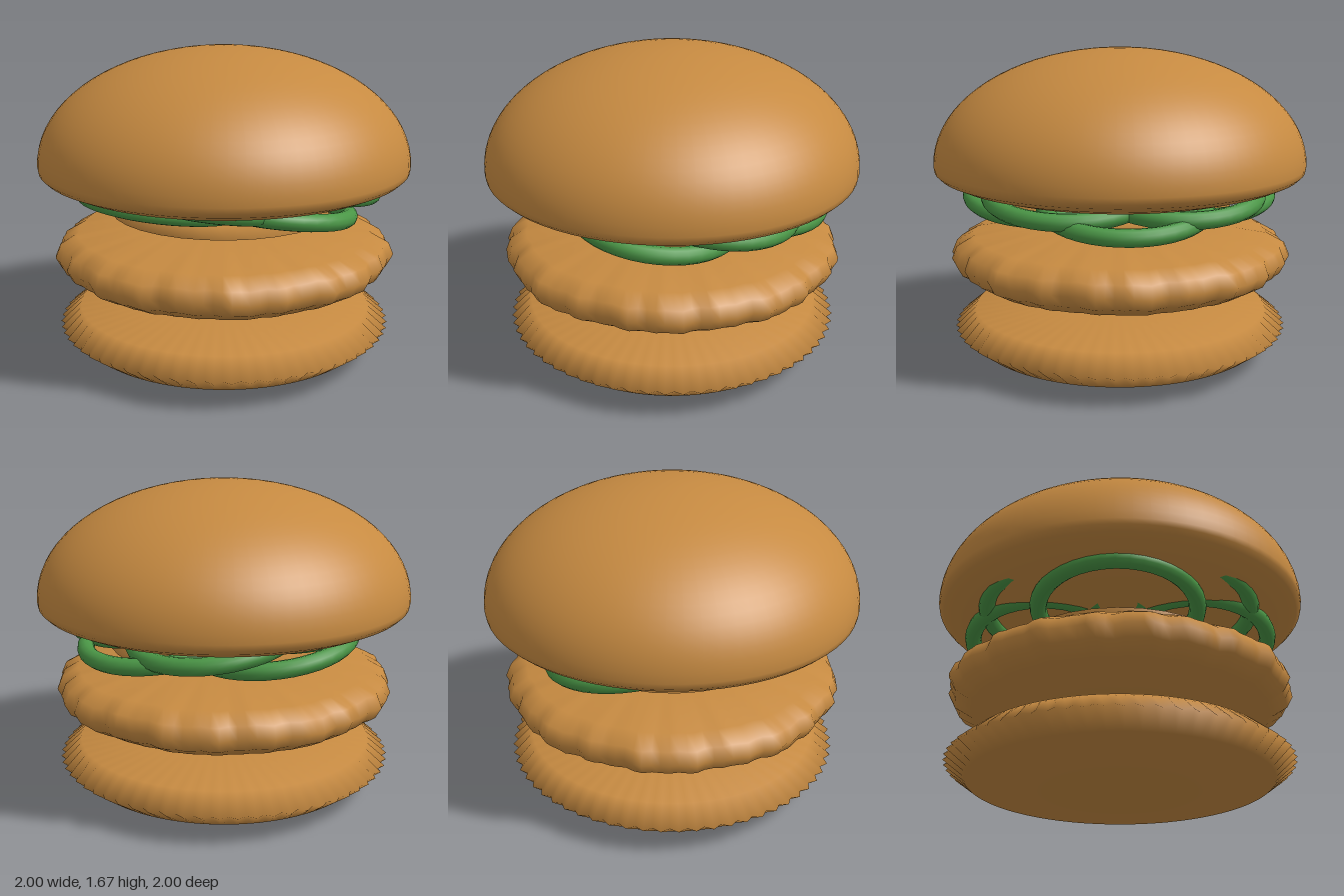
import * as THREE from 'three';
import { mergeVertices } from 'three/addons/utils/BufferGeometryUtils.js';

const tan = new THREE.MeshStandardMaterial({ color: 0xc68a41 });
tan.name = 'toasted tan';
const green = new THREE.MeshStandardMaterial({ color: 0x4a9646 });
green.name = 'leaf green';

// Smooth solid of revolution, optionally reshaped by a rule (angle, radius, y) -> [radius, y]
function turned(name, profile, segments, rule) {
  let geo = new THREE.LatheGeometry(profile.map(([r, y]) => new THREE.Vector2(r, y)), segments);
  geo.deleteAttribute('uv');
  geo.deleteAttribute('normal');
  if (rule) {
    const p = geo.attributes.position;
    for (let i = 0; i < p.count; i++) {
      const x = p.getX(i), z = p.getZ(i);
      const a = Math.atan2(z, x);
      const [r, y] = rule(a, Math.hypot(x, z), p.getY(i));
      p.setXYZ(i, Math.cos(a) * r, y, Math.sin(a) * r);
    }
  }
  geo = mergeVertices(geo, 1e-4);
  geo.computeVertexNormals();
  const mesh = new THREE.Mesh(geo, tan);
  mesh.name = name;
  return mesh;
}

export function createModel() {
  const group = new THREE.Group();
  group.name = 'burger';

  // Lower bun with a pleated rim
  group.add(turned('bottomBun',
    [[0, 0], [0.4, 0.037], [0.8, 0.08], [0.9, 0.165], [0.8, 0.258], [0.4, 0.294], [0, 0.325]], 128,
    (a, r, y) => [r > 0.85 ? r + 0.014 * Math.cos(64 * a) : r, y]));

  // Patty with an uneven, wrinkled edge
  const wrinkle = a => 0.35 * Math.sin(9 * a + 1) + 0.4 * Math.sin(23 * a + 2) + 0.35 * Math.sin(41 * a);
  group.add(turned('patty',
    [[0, 0.375], [0.5, 0.405], [0.79, 0.445], [0.88, 0.5], [0.91, 0.56], [0.885, 0.625], [0.8, 0.675], [0.5, 0.718], [0, 0.75]], 128,
    (a, r, y) => {
      const k = Math.max(0, (r - 0.7) / 0.2);
      return [r + 0.02 * k * wrinkle(a), y + 0.008 * k * wrinkle(a + 0.5)];
    }));

  // Thin slice
  group.add(turned('slice', [[0, 0.77], [0.4, 0.775], [0.62, 0.79], [0.4, 0.804], [0, 0.81]], 32));

  // Ring of overlapping tilted green loops, alternating in height
  const loops = new THREE.Group();
  loops.name = 'greenRings';
  const loopGeo = new THREE.TorusGeometry(0.41, 0.045, 12, 40).rotateX(Math.PI / 2).rotateZ(-0.15);
  for (let i = 0; i < 8; i++) {
    const a = i * Math.PI / 4;
    const loop = new THREE.Mesh(loopGeo, green);
    loop.name = 'greenRing';
    loop.position.set(0.4 * Math.cos(a), i % 2 ? 0.94 : 0.89, 0.4 * Math.sin(a));
    loops.add(loop);
  }
  group.add(loops);

  // Domed top bun: shallow underside, rounded lip, elliptical dome
  const dome = [[0, 0.91], [0.4, 0.915], [0.65, 0.923], [0.78, 0.938], [0.9, 0.974], [0.97, 1.006], [0.995, 1.03]];
  for (let i = 0; i <= 20; i++) {
    const t = i / 20 * Math.PI / 2;
    dome.push([i === 20 ? 0 : Math.cos(t), 1.06 + 0.61 * Math.sin(t)]);
  }
  group.add(turned('topBun', dome, 72));

  return group;
}
